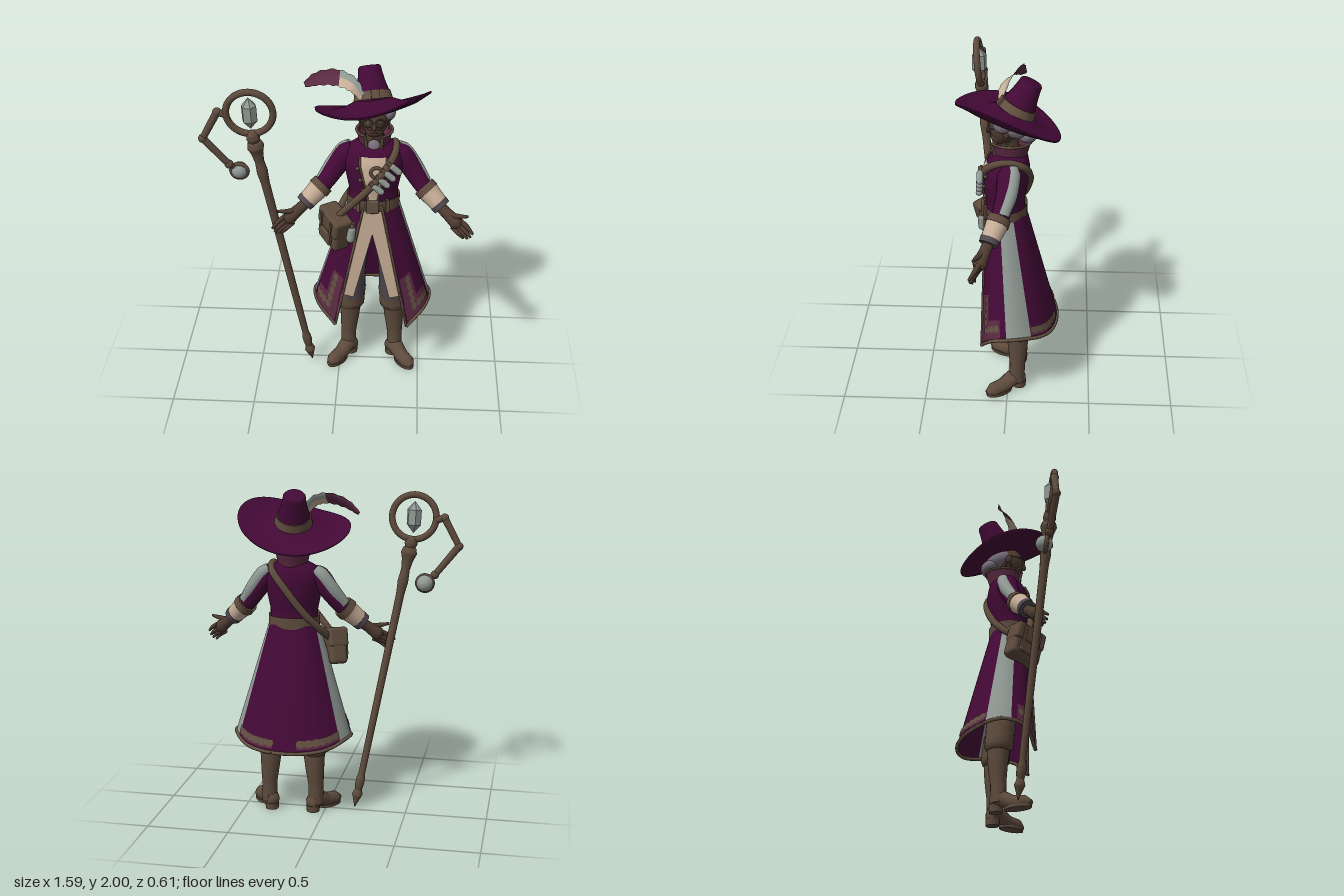
import * as THREE from 'three';
import { toCreasedNormals } from 'three/addons/utils/BufferGeometryUtils.js';
import { RoundedBoxGeometry } from 'three/addons/geometries/RoundedBoxGeometry.js';

const V = (x, y, z) => new THREE.Vector3(x, y, z);

export function createModel() {
  const root = new THREE.Group();
  root.name = 'wanderingMage';
  const colours = { purple: 0x430936, plum: 0x5a2a42, leather: 0x5d4a3c, trim: 0x625040, cream: 0xc6ad96,
    silver: 0x909994, skin: 0x4e3b30, trousers: 0x4d474e, hair: 0x786f7b };
  const M = {};
  for (const [name, color] of Object.entries(colours)) {
    M[name] = new THREE.MeshStandardMaterial({ color, side: THREE.DoubleSide });
    M[name].name = name;
  }
  const body = new THREE.Group();
  body.name = 'figure';
  body.position.x = 0.2;
  root.add(body);

  function add(parent, name, geo, mat, pos = [0, 0, 0], rot = [0, 0, 0], scale = [1, 1, 1]) {
    const m = new THREE.Mesh(geo, mat);
    m.name = name;
    m.position.set(...pos);
    m.rotation.set(...rot);
    m.scale.set(...scale);
    parent.add(m);
    return m;
  }
  // Surface from a function of (u, v) over a range
  function sheet(parent, name, mat, f, [u0, u1], [v0, v1], nu = 16, nv = 10) {
    const p = [], idx = [];
    for (let j = 0; j <= nv; j++) for (let i = 0; i <= nu; i++) {
      p.push(...f(u0 + (u1 - u0) * i / nu, v0 + (v1 - v0) * j / nv).toArray());
      if (i < nu && j < nv) {
        const a = j * (nu + 1) + i, b = a + nu + 1;
        idx.push(a, b, a + 1, b, b + 1, a + 1);
      }
    }
    const g = new THREE.BufferGeometry();
    g.setAttribute('position', new THREE.Float32BufferAttribute(p, 3));
    g.setIndex(idx);
    g.computeVertexNormals();
    return add(parent, name, g, mat);
  }
  // Closed tapering tube through [x, y, z, radius] points
  function limb(parent, name, mat, pts, sides = 14, per = 4) {
    const curve = new THREE.CatmullRomCurve3(pts.map(q => V(q[0], q[1], q[2])));
    const n = (pts.length - 1) * per, p = [], idx = [];
    const N = V(0.31, 0.2, 0.93);
    for (let i = 0; i <= n; i++) {
      const c = curve.getPoint(i / n), T = curve.getTangent(i / n);
      N.addScaledVector(T, -N.dot(T)).normalize();
      const B = T.clone().cross(N), k = Math.min(Math.floor(i / per), pts.length - 2);
      const r = THREE.MathUtils.lerp(pts[k][3], pts[k + 1][3], i / per - k);
      for (let s = 0; s < sides; s++) {
        const a = s / sides * Math.PI * 2;
        p.push(...c.clone().addScaledVector(N, r * Math.cos(a)).addScaledVector(B, r * Math.sin(a)).toArray());
        const q = i * sides + s, q2 = i * sides + (s + 1) % sides;
        if (i < n) idx.push(q, q2, q + sides, q2, q2 + sides, q + sides);
      }
    }
    const e = (n + 1) * sides;
    p.push(...pts[0].slice(0, 3), ...pts[pts.length - 1].slice(0, 3));
    for (let s = 0; s < sides; s++) {
      const t = (s + 1) % sides;
      idx.push(e, t, s, e + 1, n * sides + s, n * sides + t);
    }
    const g = new THREE.BufferGeometry();
    g.setAttribute('position', new THREE.Float32BufferAttribute(p, 3));
    g.setIndex(idx);
    return add(parent, name, toCreasedNormals(g, 0.8), mat);
  }
  const ball = new THREE.SphereGeometry(1, 28, 18);

  // Torso: ellipses [y, rx, rz, cz] joined smoothly
  const rings = [[1.17, .145, .11, .02], [1.27, .145, .115, .02], [1.37, .165, .133, .018],
    [1.46, .18, .132, .01], [1.53, .155, .11, 0], [1.57, .08, .08, -.01]];
  const torso = (a, y, off = 0) => {
    let k = 0;
    while (k < rings.length - 2 && y > rings[k + 1][0]) k++;
    const A = rings[k], B = rings[k + 1], t = (y - A[0]) / (B[0] - A[0]);
    const [rx, rz, cz] = [1, 2, 3].map(i => A[i] + (B[i] - A[i]) * t);
    return V(Math.sin(a) * (rx + off), y, cz + Math.cos(a) * (rz + off));
  };
  sheet(body, 'coatBodice', M.purple, torso, [-Math.PI, Math.PI], [1.17, 1.57], 40, 24);
  const bibEdge = y => 0.2 + (y - 1.24) * 1.05;
  sheet(body, 'vestFront', M.cream, (u, y) => torso(u * bibEdge(y), y, .006), [-1, 1], [1.2, 1.51], 12, 14);
  for (const s of [-1, 1]) {
    const edge = [];
    for (let i = 0; i < 7; i++) { const y = 1.21 + i * .05; edge.push([...torso(s * bibEdge(y), y, .006).toArray(), .007]); }
    limb(body, 'lapelTrim', M.trim, edge, 8);
    for (const y of [1.3, 1.37, 1.44]) add(body, 'button', ball, M.trim, torso(s * (bibEdge(y) + .13), y, .004).toArray(), [0, 0, 0], [.011, .011, .011]);
  }
  add(body, 'brooch', new THREE.TorusGeometry(.033, .01, 8, 20), M.leather, [.02, 1.43, .158]);

  // Collar, neck and neckcloth
  const collar = (a, v) => V(Math.sin(a) * (.085 + .02 * v), 1.53 + v * .1, -.01 + Math.cos(a) * (.09 + .03 * v));
  sheet(body, 'collar', M.plum, collar, [.5, Math.PI * 2 - .5], [0, 1], 32, 4);
  limb(body, 'collarTrim', M.trim, Array.from({ length: 17 }, (_, i) => [...collar(.5 + (Math.PI * 2 - 1) * i / 16, 1).toArray(), .008]), 8, 2);
  for (const s of [-1, 1]) limb(body, 'collarEdge', M.trim, [0, .5, 1].map(v => [...collar(s * .5, v).toArray(), .01]), 8);
  limb(body, 'neck', M.skin, [[0, 1.5, -.02, .055], [0, 1.67, 0, .05]]);
  add(body, 'neckcloth', ball, M.hair, [0, 1.55, .062], [0, 0, 0], [.04, .045, .03]);

  // Coat skirt: open front, s = 0 at the back and 1 at the front edge
  const outline = pts => new THREE.CatmullRomCurve3([...pts.slice(1).reverse().map(p => V(-p[0], p[1], p[2])), ...pts.map(p => V(...p))]);
  const waist = outline([[0, 1.21, -.095], [.1, 1.21, -.07], [.147, 1.21, .015], [.115, 1.21, .09], [.05, 1.21, .135]]);
  const hem = outline([[0, .445, -.295], [.23, .46, -.235], [.355, .5, -.06], [.33, .47, .08], [.22, .36, .155]]);
  const coat = (s, v, off = 0) => {
    const p = waist.getPoint((s + 1) / 2).lerp(hem.getPoint((s + 1) / 2), v);
    return p.addScaledVector(V(p.x, 0, p.z + .02).normalize(), off);
  };
  sheet(body, 'coatBack', M.purple, coat, [-.385, .385], [0, 1], 24, 10);
  const medallion = (s, v) => sheet(body, 'hemMedallion', M.trim,
    (a, r) => coat(s + .03 * r * Math.cos(a), v + .03 * r * Math.sin(a), .009), [0, Math.PI * 2], [.01, 1], 12, 1);
  for (const s of [-1, 1]) {
    sheet(body, 'coatSidePanel', M.silver, coat, [s * .385, s * .6], [0, 1], 8, 10);
    sheet(body, 'coatFrontPanel', M.purple, coat, [s * .6, s], [0, 1], 16, 10);
    sheet(body, 'hemEmbroidery', M.plum, (a, v) => coat(a, v, .005), [s * .66, s * .98], [.83, .98], 10, 4);
    sheet(body, 'edgeEmbroidery', M.plum, (a, v) => coat(a, v, .005), [s * .82, s * .97], [.62, .83], 4, 4);
    sheet(body, 'backHemEmbroidery', M.plum, (a, v) => coat(a, v, .005), [s * .08, s * .385], [.9, .97], 16, 2);
    limb(body, 'coatEdgeTrim', M.trim, [0, .33, .66, 1].map(v => [...coat(s, v).toArray(), .008]), 8);
    for (let i = 0; i < 6; i++) medallion(s * (.1 + i * .05), .925);
    for (const a of [.7, .76, .82]) medallion(s * a, .9);
    for (const v of [.66, .72, .78, .84, .9]) medallion(s * .88, v);
  }
  limb(body, 'hemTrim', M.trim, Array.from({ length: 33 }, (_, i) => [...coat(-1 + i / 16, 1).toArray(), .011]), 8, 2);

  // Belt
  const ringBand = (rx, rz, cz, y0, y1) => (a, v) => V(Math.sin(a) * rx, y0 + (y1 - y0) * v, cz + Math.cos(a) * rz);
  sheet(body, 'belt', M.leather, ringBand(.157, .128, .02, 1.165, 1.235), [0, Math.PI * 2], [0, 1], 36, 1);
  add(body, 'beltBuckle', new RoundedBoxGeometry(.075, .085, .02, 2, .008), M.trim, [0, 1.2, .15]);
  for (const x of [-.085, .085]) add(body, 'beltLoop', new THREE.BoxGeometry(.022, .085, .016), M.trim, [x, 1.2, .131], [0, x * 5, 0]);

  // Vest tails, legs and boots
  for (const s of [-1, 1]) {
    const tail = new THREE.Shape([[0, 1.18], [.065, 1.18], [.185, .57], [.11, .55], [0, 1]].map(p => new THREE.Vector2(s * p[0], p[1])));
    add(body, 'vestTail', new THREE.ExtrudeGeometry(tail, { depth: .008, bevelEnabled: false }), M.cream, [0, 0, .122]);
    limb(body, 'trouserLeg', M.trousers, [[s * .065, 1.15, .01, .06], [s * .082, .9, 0, .066], [s * .11, .7, -.01, .072], [s * .125, .48, -.04, .08]]);
    limb(body, 'bootCuff', M.leather, [[s * .12, .56, -.045, .08], [s * .125, .53, -.045, .086], [s * .135, .4, -.055, .086], [s * .135, .375, -.055, .07]], 18);
    limb(body, 'bootShaft', M.leather, [[s * .135, .42, -.055, .07], [s * .14, .3, -.06, .06], [s * .147, .17, -.058, .047], [s * .148, .05, -.055, .048]], 16);
    const foot = new THREE.Group();
    foot.name = 'foot';
    foot.position.set(s * .148, 0, -.045);
    foot.rotation.y = s * .6;
    body.add(foot);
    const upper = limb(foot, 'bootFoot', M.leather, [[0, .06, -.065, .02], [0, .06, -.05, .042], [0, .075, .01, .05], [0, .045, .08, .045], [0, .035, .16, .043], [0, .03, .205, .015]], 16);
    const P = upper.geometry.attributes.position;
    for (let i = 0; i < P.count; i++) P.setY(i, Math.max(P.getY(i), .018));
    add(foot, 'bootSole', new THREE.CylinderGeometry(.047, .047, .018, 20), M.leather, [0, .012, .115], [0, 0, 0], [1, 1, 1.85]);
    add(foot, 'bootHeel', new THREE.CylinderGeometry(.043, .04, .04, 16), M.leather, [0, .02, -.03]);
  }

  // Arms and hands
  for (const s of [-1, 1]) {
    limb(body, 'sleeve', M.purple, [[s * .12, 1.5, -.005, .05], [s * .16, 1.475, -.005, .065], [s * .225, 1.385, .005, .06], [s * .29, 1.295, .035, .052], [s * .33, 1.255, .055, .05]], 18);
    limb(body, 'sleeveStripe', M.silver, [[s * .14, 1.522, -.028, .032], [s * .18, 1.492, -.033, .041], [s * .245, 1.402, -.018, .041], [s * .305, 1.312, .018, .036]], 14);
    limb(body, 'cuffBand', M.leather, [[s * .295, 1.29, .038, .066], [s * .325, 1.262, .053, .07]], 18);
    limb(body, 'cuff', M.cream, [[s * .32, 1.267, .05, .067], [s * .395, 1.195, .09, .054]], 18);
    limb(body, 'cuffEdge', M.trousers, [[s * .385, 1.205, .085, .058], [s * .408, 1.183, .096, .055]], 18);
    limb(body, 'palm', M.skin, [[s * .39, 1.19, .09, .033], [s * .44, 1.15, .115, .034], [s * .495, 1.105, .14, .042], [s * .515, 1.09, .148, .026]], 12);
    limb(body, 'thumb', M.skin, [[s * .445, 1.15, .12, .02], [s * .5, 1.155, .15, .016], [s * .56, 1.165, .17, .008]], 8);
    for (const [x, y, z] of [[.592, 1.06, .195], [.58, 1.035, .19], [.563, 1.02, .18], [.538, 1.015, .165]]) {
      const bx = .47 + (x - .538) * .7, by = 1.075 + (y - 1.015) * 1.1;
      limb(body, 'finger', M.skin, [[s * bx, by, .135, .016], [s * (bx + x) / 2 + s * .008, (by + y) / 2, .165, .014], [s * x, y, z, .007]], 8);
    }
  }

  // Head, hair and spectacles
  add(body, 'face', ball, M.skin, [0, 1.715, .025], [0, 0, 0], [.082, .1, .085]);
  add(body, 'jaw', ball, M.skin, [0, 1.66, .05], [0, 0, 0], [.055, .048, .055]);
  add(body, 'nose', ball, M.skin, [0, 1.695, .11], [-.3, 0, 0], [.013, .026, .018]);
  add(body, 'mouth', ball, M.plum, [0, 1.658, .101], [0, 0, 0], [.022, .006, .006]);
  add(body, 'hair', ball, M.hair, [.01, 1.728, -.035], [-.3, 0, 0], [.095, .07, .1]);
  add(body, 'hairBun', ball, M.hair, [.01, 1.68, -.1], [-.3, 0, 0], [.075, .05, .065]);
  add(body, 'sideCurl', ball, M.hair, [.088, 1.765, .03], [0, 0, 0], [.034, .052, .055]);
  for (const s of [-1, 1]) {
    add(body, 'eye', ball, M.hair, [s * .034, 1.722, .1], [0, 0, 0], [.012, .006, .006]);
    add(body, 'spectacleRim', new THREE.TorusGeometry(.026, .004, 6, 22), M.trim, [s * .036, 1.722, .113]);
    limb(body, 'spectacleArm', M.trim, [[s * .062, 1.724, .11, .004], [s * .086, 1.73, .02, .004]], 6);
    add(body, 'ear', ball, M.skin, [s * .082, 1.705, .01], [0, 0, 0], [.012, .028, .02]);
    add(body, 'earring', new THREE.TorusGeometry(.018, .005, 6, 16), M.trim, [s * .085, 1.66, .008], [0, Math.PI / 2, 0]);
  }

  // Hat: tilted brim lifted at the front left, leaning crown, band and feather
  const hat = new THREE.Group();
  hat.name = 'hat';
  hat.position.set(-.005, 1.765, 0);
  hat.rotation.set(-.3, 0, .14);
  body.add(hat);
  const brim = new THREE.LatheGeometry([[.05, .06], [.11, .05], [.17, .022], [.25, .004], [.32, .012], [.337, .016], [.335, .004], [.25, -.012], [.17, .0], [.1, .015], [.05, .02]].map(p => new THREE.Vector2(...p)), 64);
  const bp = brim.attributes.position;
  for (let i = 0; i < bp.count; i++) {
    const x = bp.getX(i), z = bp.getZ(i), r = Math.hypot(x, z);
    const lift = Math.max(0, x * .7 + z * .7) / .33;
    bp.setY(i, bp.getY(i) + .27 * (x * x - z * z) * r / .33 + .04 * lift ** 3);
    bp.setZ(i, z * .93);
  }
  brim.computeVertexNormals();
  add(hat, 'hatBrim', brim, M.purple);
  const top = new THREE.Group();
  top.name = 'hatTop';
  top.position.set(0, .033, -.025);
  top.rotation.x = -.17;
  hat.add(top);
  const crown = new THREE.LatheGeometry([[.108, -.01], [.098, .06], [.08, .12], [.069, .175], [.066, .2], [.058, .21], [.001, .212]].map(p => new THREE.Vector2(...p)), 32);
  add(top, 'hatCrown', crown, M.purple);
  add(top, 'hatBand', new THREE.CylinderGeometry(.103, .114, .05, 32), M.trim, [0, .038, 0]);
  add(top, 'hatBuckle', new THREE.BoxGeometry(.05, .055, .015), M.leather, [.02, .038, .107], [-.2, .15, 0]);
  const quill = new THREE.CatmullRomCurve3([V(-.07, 1.85, .04), V(-.125, 1.92, .015), V(-.22, 1.945, -.025), V(-.33, 1.92, -.06), V(-.41, 1.868, -.085)]);
  const vane = (u, t) => {
    const T = quill.getTangent(t), w = .05 * Math.pow(Math.sin(Math.PI * (.06 + .9 * t)), .6) * (1 + .08 * Math.sin(t * 48));
    return quill.getPoint(t).addScaledVector(V(-T.y, T.x, .9).normalize(), -u * w).add(V(0, 0, .012 * u * u));
  };
  sheet(body, 'featherLower', M.cream, vane, [-1, 0], [0, .46], 4, 24);
  sheet(body, 'featherUpper', M.silver, vane, [0, 1], [0, .46], 4, 24);
  sheet(body, 'featherTip', M.plum, vane, [-1, 1], [.46, 1], 6, 28);

  // Shoulder strap with vials
  limb(body, 'shoulderStrap', M.leather, [[-.2, 1.12, .12, .02], [-.13, 1.2, .135, .022], [-.04, 1.3, .15, .022], [.06, 1.43, .155, .022], [.12, 1.52, .1, .022], [.13, 1.548, .01, .02],
    [.11, 1.515, -.085, .022], [.03, 1.42, -.122, .022], [-.07, 1.28, -.098, .022], [-.16, 1.17, -.04, .022], [-.21, 1.1, .03, .022]], 10);
  for (let i = 0; i < 4; i++) {
    const vial = new THREE.Group();
    vial.name = 'vial';
    vial.position.set(.03 + i * .033, 1.33 + i * .042, .17 - i * .004);
    vial.rotation.z = .85;
    body.add(vial);
    add(vial, 'vialGlass', new THREE.CapsuleGeometry(.019, .05, 6, 14), M.silver);
    add(vial, 'vialStopper', new THREE.CylinderGeometry(.013, .013, .025, 10), M.trim, [0, .05, 0]);
  }

  // Satchel and belt flask
  const bag = new THREE.Group();
  bag.name = 'satchel';
  bag.position.set(-.225, 1.025, .09);
  bag.rotation.set(.05, -1, -.2);
  body.add(bag);
  add(bag, 'bagBody', new RoundedBoxGeometry(.21, .215, .11, 3, .025), M.leather);
  add(bag, 'bagFlap', new RoundedBoxGeometry(.217, .12, .122, 3, .02), M.leather, [0, .055, .004]);
  add(bag, 'bagPocket', new RoundedBoxGeometry(.13, .075, .03, 2, .01), M.leather, [0, -.045, .058]);
  for (const x of [-.055, .055]) add(bag, 'bagBuckleStrap', new THREE.BoxGeometry(.02, .15, .008), M.trim, [x, .02, .068]);
  add(body, 'flask', new THREE.CapsuleGeometry(.026, .06, 6, 14), M.silver, [-.125, 1.02, .165], [0, 0, -.1]);
  add(body, 'flaskStopper', new THREE.CylinderGeometry(.018, .018, .03, 12), M.trim, [-.12, 1.085, .165]);

  // Staff: leaning shaft, ring head, crystal and hanging orb
  const staff = new THREE.Group();
  staff.name = 'staff';
  root.add(staff);
  const at = (y, r) => [-.175 - .184 * y, y, .035 + .1 * y, r];
  limb(staff, 'staffPoint', M.leather, [at(.005, .003), at(.085, .034), at(.13, .018)], 8);
  limb(staff, 'staffShaft', M.leather, [at(.1, .018), at(.15, .028), at(.19, .028), at(.22, .021), at(.6, .023), at(1.0, .024), at(1.35, .026), at(1.43, .033), at(1.5, .027), at(1.56, .036), at(1.6, .05), at(1.63, .04), at(1.635, .028)], 12);
  limb(staff, 'staffKnob', M.leather, [at(1.63, .03), at(1.655, .04), at(1.685, .036), at(1.7, .02)], 12);
  add(staff, 'staffRing', new THREE.TorusGeometry(.133, .02, 12, 44), M.leather, [-.495, 1.815, .213], [.1, 0, 0]);
  const crystal = new THREE.LatheGeometry([[.001, -.095], [.045, -.045], [.045, .045], [.001, .095]].map(p => new THREE.Vector2(...p)), 6);
  add(staff, 'crystal', toCreasedNormals(crystal, .2), M.silver, [-.495, 1.815, .213], [0, .3, .05]);
  const joints = [[-.62, 1.8, .21], [-.678, 1.815, .208], [-.768, 1.648, .205], [-.63, 1.475, .18]];
  for (let i = 0; i < 3; i++) {
    limb(staff, 'hookArm', M.leather, [[...joints[i], .023], [...joints[i + 1], .02]], 10);
    add(staff, 'hookJoint', ball, M.leather, joints[i + 1], [0, 0, 0], [.026, .026, .026]);
  }
  limb(staff, 'orbLink', M.leather, [[-.63, 1.475, .18, .012], [-.59, 1.45, .165, .02]], 8);
  add(staff, 'orb', ball, M.silver, [-.573, 1.425, .155], [0, 0, 0], [.05, .05, .05]);
  add(staff, 'orbBand', new THREE.TorusGeometry(.046, .014, 8, 28), M.leather, [-.573, 1.425, .165], [.1, 0, 0]);
  return root;
}
